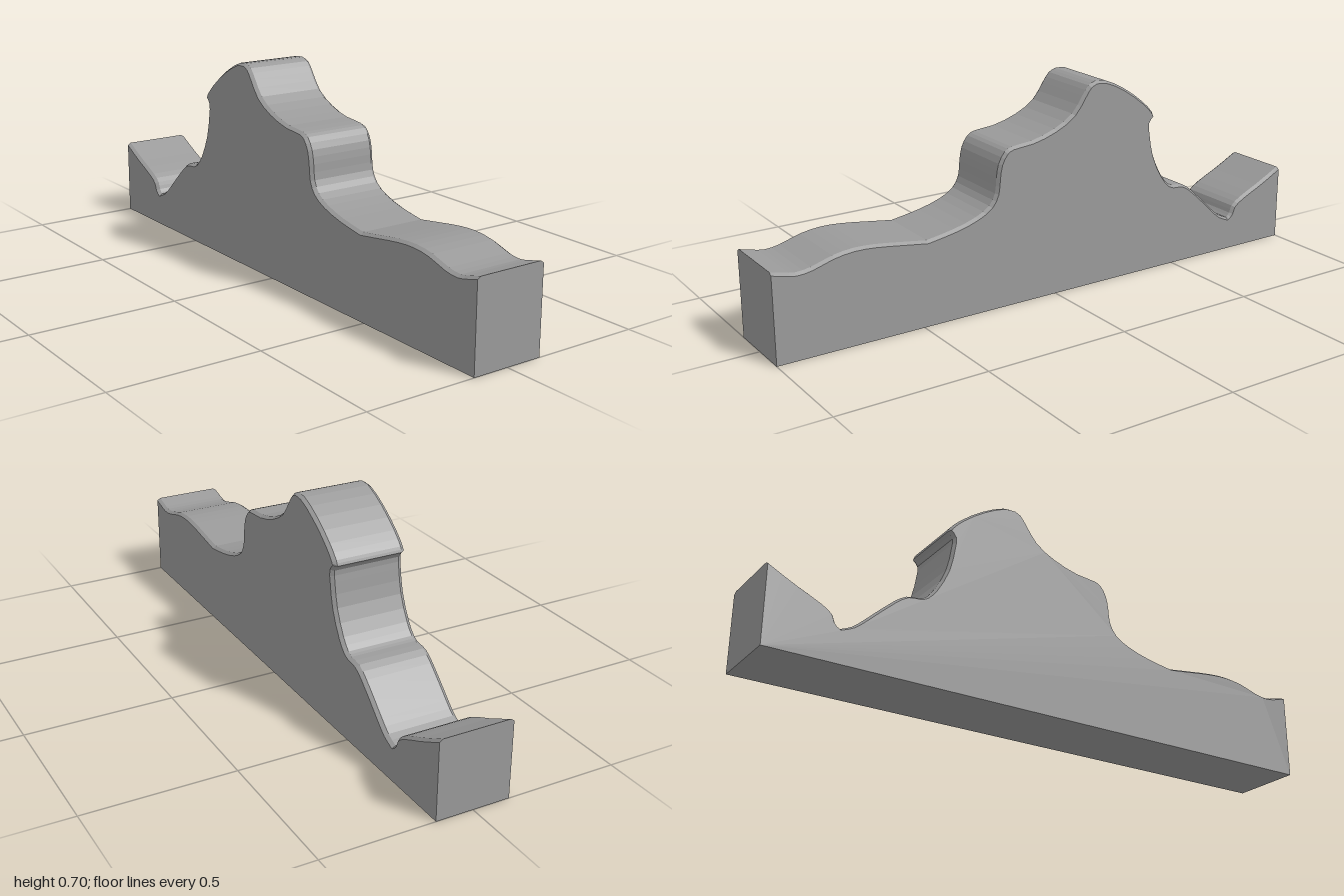
import * as THREE from 'three';

const HALF = 0.125;   // half the plank thickness
const INSET = 0.012;  // chamfer width across the plank
const DROP = 0.008;   // chamfer depth into the plank

// Top outline from front to back as [z, y]; each run is smooth, runs meet at corners
const runs = [
  [[1, .295], [.96, .285], [.92, .277], [.87, .283], [.8, .304], [.73, .313], [.66, .31], [.57, .298], [.48, .285]],
  [[.48, .285], [.38, .302], [.3, .325], [.25, .353], [.228, .39], [.222, .44], [.213, .485], [.19, .522], [.165, .534],
    [.09, .541], [0, .567], [-.07, .607], [-.11, .66], [-.135, .692], [-.16, .703]],
  [[-.16, .703], [-.2, .7], [-.28, .662], [-.36, .605], [-.4, .565], [-.408, .548]],
  [[-.408, .548], [-.39, .527], [-.393, .49], [-.41, .41], [-.45, .33], [-.48, .295], [-.5, .286]],
  [[-.5, .286], [-.545, .28], [-.59, .25], [-.68, .167], [-.72, .133], [-.76, .115]],
  [[-.76, .115], [-.775, .13], [-.785, .155], [-.82, .18], [-.9, .216], [-1, .265]],
];

// Sample the outline with u = -z, so it runs left to right
function outline() {
  const pts = [];
  runs.forEach((run, r) => {
    const curve = new THREE.CatmullRomCurve3(run.map(([z, y]) => new THREE.Vector3(-z, y, 0)), false, 'centripetal');
    const samples = curve.getPoints((run.length - 1) * 2);
    samples.slice(r ? 1 : 0).forEach(p => pts.push(new THREE.Vector2(p.x, p.y)));
  });
  return pts;
}

// Move the outline into the body, keeping its ends on the end faces
function insetOutline(pts) {
  return pts.map((p, i) => {
    if (i === 0 || i === pts.length - 1) return new THREE.Vector2(p.x, p.y - DROP);
    const t = pts[i + 1].clone().sub(pts[i - 1]).normalize();
    return new THREE.Vector2(p.x + t.y * DROP, p.y - t.x * DROP);
  });
}

function bodyGeometry() {
  const pos = [];
  // Convex polygon as a fan of triangles
  const fan = (...c) => {
    for (let i = 1; i < c.length - 1; i++) pos.push(...c[0], ...c[i], ...c[i + 1]);
  };
  const top = outline();
  const edge = insetOutline(top);
  const at = (x, p) => [x, p.y, -p.x];
  const rows = top.map((p, i) => [
    at(HALF, edge[i]), at(HALF - INSET, p), at(INSET - HALF, p), at(-HALF, edge[i]),
  ]);

  // Curved top with a chamfer along each side
  for (let i = 0; i < rows.length - 1; i++) {
    for (let k = 0; k < 3; k++) fan(rows[i][k], rows[i + 1][k], rows[i + 1][k + 1], rows[i][k + 1]);
  }

  // Flat sides
  const side = [new THREE.Vector2(-1, 0), new THREE.Vector2(1, 0), ...edge.slice().reverse()];
  for (const [a, b, c] of THREE.ShapeUtils.triangulateShape(side, [])) {
    fan(at(HALF, side[a]), at(HALF, side[b]), at(HALF, side[c]));
    fan(at(-HALF, side[a]), at(-HALF, side[c]), at(-HALF, side[b]));
  }

  // Ends and underside
  const [fl, fr, bl, br] = [[HALF, 0, 1], [-HALF, 0, 1], [HALF, 0, -1], [-HALF, 0, -1]];
  fan(fr, fl, ...rows[0]);
  fan(bl, br, ...rows[rows.length - 1].slice().reverse());
  fan(fl, fr, br, bl);

  const geo = new THREE.BufferGeometry();
  geo.setAttribute('position', new THREE.Float32BufferAttribute(pos, 3));
  geo.computeVertexNormals(); // unshared corners give flat facets
  return geo;
}

export function createModel() {
  const group = new THREE.Group();
  group.name = 'profileBlock';
  const body = new THREE.Mesh(bodyGeometry(), new THREE.MeshStandardMaterial({ color: 0x9a9a9a, flatShading: true }));
  body.name = 'contouredBody';
  group.add(body);
  return group;
}
